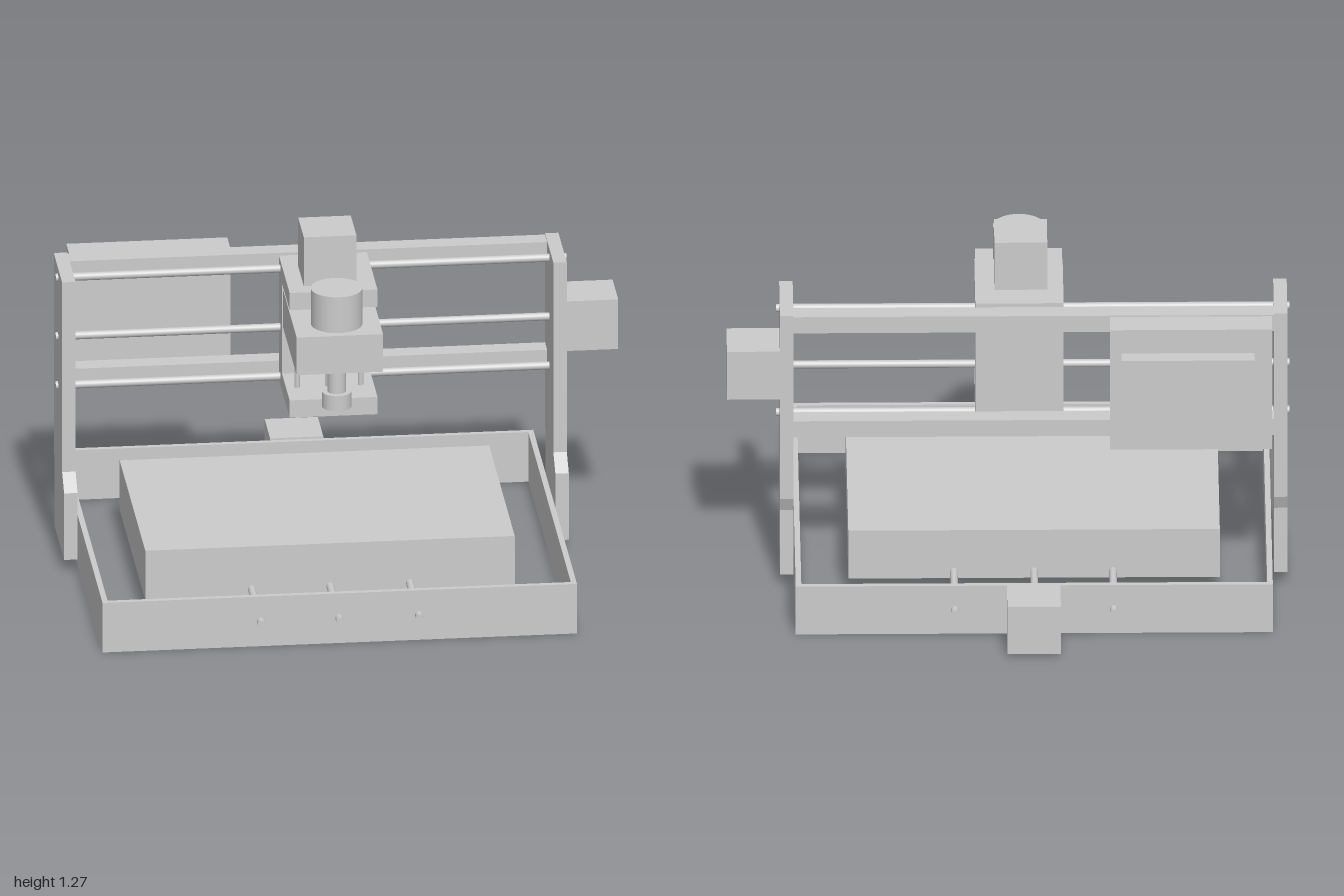
import * as THREE from 'three';

export function createModel() {
  const model = new THREE.Group();
  const mat = new THREE.MeshStandardMaterial({ color: 0xcccccc });

  const add = (name, geo) => {
    const mesh = new THREE.Mesh(geo, mat);
    mesh.name = name;
    model.add(mesh);
    return mesh;
  };
  // Box given by its extents on each axis
  const box = (name, [x0, x1], [y0, y1], [z0, z1]) =>
    add(name, new THREE.BoxGeometry(x1 - x0, y1 - y0, z1 - z0))
      .position.set((x0 + x1) / 2, (y0 + y1) / 2, (z0 + z1) / 2);
  // Cylinder along an axis, from one end to the other
  const rod = (name, axis, r, from, to, x, y, z, sides = 24) => {
    const mesh = add(name, new THREE.CylinderGeometry(r, r, to - from, sides));
    mesh.position.set(x, y, z);
    mesh.position[axis] = (from + to) / 2;
    if (axis === 'x') mesh.rotation.z = Math.PI / 2;
    if (axis === 'z') mesh.rotation.x = Math.PI / 2;
  };

  // Base frame, open at top and bottom
  const rect = (path, x0, x1, z0, z1) =>
    path.moveTo(x0, -z0).lineTo(x0, -z1).lineTo(x1, -z1).lineTo(x1, -z0).closePath();
  const outline = new THREE.Shape();
  rect(outline, -0.935, 0.76, -0.655, 0.807);
  const opening = new THREE.Path();
  rect(opening, -0.915, 0.74, -0.635, 0.787);
  outline.holes.push(opening);
  const frame = new THREE.ExtrudeGeometry(outline, { depth: 0.19, bevelEnabled: false });
  frame.rotateX(-Math.PI / 2);
  add('baseFrame', frame);

  // Work bed, its guide rods, lead screw and motor
  box('workBed', [-0.75, 0.57], [0.07, 0.26], [-0.353, 0.505]);
  for (const x of [-0.37, -0.09, 0.195])
    rod('bedRod', 'z', 0.0135, -0.69, 0.84, x, 0.097, 0);
  box('bedMotor', [-0.18, 0.01], [0.01, 0.197], [-0.84, -0.655]);

  // Gantry side plates, with a stepped foot
  const side = new THREE.Shape([
    [0.3, 1.087], [0.3, 0.36], [0.277, 0.305], [0.277, 0.05],
    [-0.047, 0.05], [-0.047, 0.305], [0.02, 0.36], [0.02, 1.087],
  ].map(([x, y]) => new THREE.Vector2(x, y)));
  for (const x of [-0.991, 0.764]) {
    const geo = new THREE.ExtrudeGeometry(side, { depth: 0.048, bevelEnabled: false });
    geo.rotateY(Math.PI / 2);
    add('gantrySide', geo).position.x = x;
  }

  // Gantry beams, guide rods, lead screw and motor
  for (const y of [0.605, 1.018])
    box('gantryBeam', [-0.945, 0.766], [y, y + 0.064], [-0.3, -0.228]);
  for (const y of [0.637, 0.825, 1.05])
    rod('gantryRod', 'x', 0.0145, -1.0, 0.825, 0, y, -0.16);
  box('gantryMotor', [0.81, 1.0], [0.73, 0.92], [-0.248, -0.06]);

  // Control box on the back
  box('controlBox', [-0.935, -0.36], [0.603, 1.077], [-0.406, -0.3]);
  box('controlBoxCover', [-0.873, -0.4], [0.692, 0.985], [-0.467, -0.406]);

  // Carriage: back wall with a top and a bottom plate
  const width = [-0.197, 0.117];
  box('carriageBack', width, [0.605, 1.083], [-0.2, -0.1]);
  box('carriageTop', width, [1.017, 1.083], [-0.1, 0.155]);
  box('carriageBottom', width, [0.605, 0.671], [-0.1, 0.155]);
  for (const x of [-0.157, -0.045, 0.07])
    rod('verticalRod', 'y', 0.01, 0.64, 1.05, x, 0, 0.03, 16);
  box('verticalMotor', [-0.14, 0.048], [1.083, 1.27], [-0.092, 0.096]);

  // Spindle in its holder
  box('spindleHolder', [-0.197, 0.112], [0.863, 1.007], [-0.06, 0.39]);
  rod('spindleMotor', 'y', 0.092, 1.013, 1.15, -0.043, 0, 0.286, 40);
  rod('spindleShaft', 'y', 0.033, 0.74, 1.02, -0.043, 0, 0.286, 32);
  rod('spindleChuck', 'y', 0.053, 0.697, 0.755, -0.043, 0, 0.286, 32);

  return model;
}
